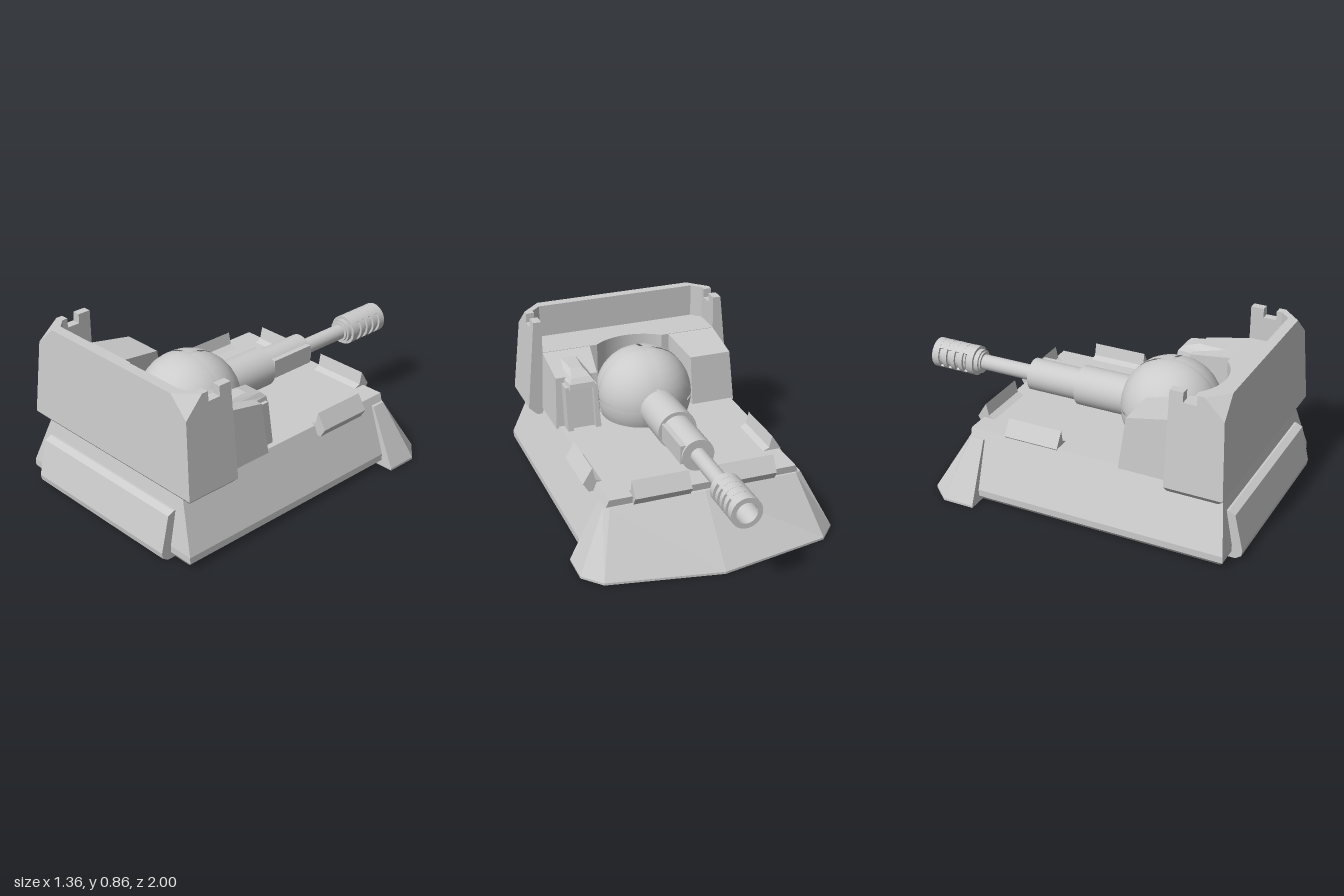
import * as THREE from 'three';

const grey = new THREE.MeshStandardMaterial({ color: 0xcccccc });
const flat = new THREE.MeshStandardMaterial({ color: 0xcccccc, flatShading: true });
const open = new THREE.MeshStandardMaterial({ color: 0xcccccc, side: THREE.DoubleSide });

// Solid from horizontal rings [y, [[x, z], ...]] stacked upwards
function loft(rings) {
  const n = rings[0][1].length;
  const rev = THREE.ShapeUtils.area(rings[0][1].map(p => new THREE.Vector2(...p))) < 0;
  const loops = rings.map(([y, pts]) => (rev ? [...pts].reverse() : pts).map(([x, z]) => new THREE.Vector3(x, y, z)));
  const tris = [];
  for (let r = 0; r < loops.length - 1; r++) {
    for (let i = 0; i < n; i++) {
      const j = (i + 1) % n, a = loops[r], b = loops[r + 1];
      tris.push(a[i], b[j], a[j], a[i], b[i], b[j]);
    }
  }
  const cap = (loop, up) => {
    const faces = THREE.ShapeUtils.triangulateShape(loop.map(p => new THREE.Vector2(p.x, p.z)), []);
    for (const [a, b, c] of faces) tris.push(loop[a], loop[up ? c : b], loop[up ? b : c]);
  };
  cap(loops[0], false);
  cap(loops[loops.length - 1], true);
  const geo = new THREE.BufferGeometry().setFromPoints(tris);
  geo.computeVertexNormals();
  return geo;
}

const rect = (x0, x1, z0, z1) => [[x0, z0], [x1, z0], [x1, z1], [x0, z1]];
// Mirror a half outline (x > 0, walked from one end to the other) into a full loop
const mirrored = half => [...half, ...half.filter(p => p[0] > 0).reverse().map(([x, z]) => [-x, z])];

function extrude(points, depth) {
  const shape = new THREE.Shape(points.map(p => new THREE.Vector2(...p)));
  return new THREE.ExtrudeGeometry(shape, { depth, bevelEnabled: false });
}

// Annulus sector extruded along z
function ringSector(r0, r1, a0, a1, z, depth) {
  const s = new THREE.Shape();
  s.absarc(0, 0, r1, a0, a1, false);
  if (a1 - a0 > 6) {
    const hole = new THREE.Path();
    hole.absarc(0, 0, r0, 0, Math.PI * 2, true);
    s.holes.push(hole);
  } else s.absarc(0, 0, r0, a1, a0, true);
  return new THREE.ExtrudeGeometry(s, { depth, bevelEnabled: false, curveSegments: 20 }).translate(0, 0, z);
}

export function createModel() {
  const model = new THREE.Group();
  const add = (name, geo, mat = flat, parent = model) => {
    const m = new THREE.Mesh(geo, mat);
    m.name = name;
    parent.add(m);
    return m;
  };

  // Hull with sloping sides
  add('hull', loft([
    [0, rect(-0.575, 0.575, -0.45, 0.92)],
    [0.035, rect(-0.61, 0.61, -0.45, 0.945)],
    [0.07, rect(-0.61, 0.61, -0.45, 0.945)],
    [0.36, rect(-0.5, 0.5, -0.495, 0.89)],
  ]));

  // Pointed ram at the gun end
  add('ram', loft([
    [0, mirrored([[0, -0.785], [0.59, -0.67], [0.68, -0.57], [0.68, -0.4]])],
    [0.012, mirrored([[0, -0.785], [0.59, -0.67], [0.68, -0.57], [0.68, -0.4]])],
    [0.32, mirrored([[0, -0.505], [0.5, -0.5], [0.53, -0.485], [0.53, -0.41]])],
  ]));

  // Plate on the sloping front
  add('frontPlate', extrude([[-0.88, 0], [-0.965, 0], [-0.995, 0.02], [-1, 0.05], [-0.955, 0.24], [-0.92, 0.257], [-0.88, 0.257]], 0.965)
    .rotateY(Math.PI / 2).translate(-0.4925, 0, 0));

  // Armoured wall: U-shaped, notched, top corners cut off
  const outer = y => y < 0.36
    ? { w: 0.545, f: 0.885, c: 0 }
    : { w: 0.592 - (y - 0.36) * 0.096, f: 0.925 - (y - 0.36) * 0.06, c: Math.max(0, y - 0.76) };
  const uRing = (y, z0) => {
    const { w, f, c } = outer(y);
    const half = [[w, z0], [w, f - c], [w - c, f]];
    const inner = [[0.45, 0.84], [0.5, 0.79], [0.5, z0]];
    const flip = ps => [...ps].reverse().map(([x, z]) => [-x, z]);
    return [y, [...half, ...flip(half), ...flip(inner), ...inner]];
  };
  add('wall', loft([0.315, 0.36, 0.76, 0.81].map(y => uRing(y, 0.62))));
  add('wallTop', loft([0.81, 0.86].map(y => uRing(y, 0.76))));
  for (const s of [-1, 1]) {
    add('wallPost', loft([0.81, 0.86].map(y => [y, rect(s * 0.5, s * outer(y).w, 0.62, 0.69)])));
  }

  // Shelf inside the wall, hollowed around the dome
  const shelf = new THREE.Shape();
  const arc = Math.asin(0.22 / 0.29);
  shelf.moveTo(-0.51, -0.62);
  shelf.lineTo(-0.19, -0.62);
  shelf.absarc(0, -0.4, 0.29, -Math.PI / 2 - (Math.PI / 2 - arc), -arc, false);
  shelf.lineTo(0.51, -0.62);
  shelf.lineTo(0.51, -0.86);
  shelf.lineTo(-0.51, -0.86);
  add('shelf', new THREE.ExtrudeGeometry(shelf, { depth: 0.34, bevelEnabled: false })
    .rotateX(-Math.PI / 2).translate(0, 0.34, 0));

  // Side blocks beside the dome, with sloping tops
  for (const s of [-1, 1]) {
    const geo = loft([
      [0.35, [[s * 0.27, 0.345], [s * 0.515, 0.345], [s * 0.515, 0.63], [s * 0.23, 0.63]]],
      [0.68, [[s * 0.27, 0.378], [s * 0.5, 0.378], [s * 0.5, 0.63], [s * 0.23, 0.63]]],
    ]);
    const p = geo.attributes.position;
    for (let i = 0; i < p.count; i++) if (p.getY(i) > 0.6 && p.getZ(i) < 0.5) p.setY(i, 0.63);
    geo.computeVertexNormals();
    add('sideBlock', geo);
  }

  // Hooded sight pod on the left block
  const pod = new THREE.Group();
  pod.name = 'sightPod';
  model.add(pod);
  add('podBody', loft([
    [0.35, rect(0.31, 0.45, 0.3, 0.5)],
    [0.61, rect(0.315, 0.44, 0.335, 0.54)],
  ]), flat, pod);
  add('podHood', loft([
    [0.59, [[0.305, 0.29], [0.45, 0.29], [0.47, 0.5], [0.285, 0.5]]],
    [0.62, [[0.31, 0.295], [0.445, 0.295], [0.465, 0.52], [0.29, 0.52]]],
    [0.645, [[0.325, 0.32], [0.43, 0.32], [0.44, 0.53], [0.315, 0.53]]],
    [0.665, [[0.345, 0.4], [0.41, 0.4], [0.42, 0.55], [0.335, 0.55]]],
  ]), flat, pod);
  for (const x of [0.285, 0.44]) {
    add('podRail', loft([
      [0.35, rect(x, x + 0.03, 0.27, 0.36)],
      [0.6, rect(x + 0.01, x + 0.03, 0.305, 0.4)],
    ]), flat, pod);
  }

  // Folded brackets around the deck edge
  const profile = [[-0.06, 0.355], [-0.015, 0.375], [0, 0.44], [0.05, 0.36], [0.02, 0.312], [-0.02, 0.315]];
  const bracket = (name, x, z, turn) => {
    const m = add(name, extrude(profile, 0.3).translate(0, 0, -0.15));
    m.position.set(x, 0, z);
    m.rotation.y = turn;
  };
  bracket('sideBracket', 0.52, -0.147, 0);
  bracket('sideBracket', -0.457, -0.147, Math.PI);
  for (const s of [-1, 1]) bracket('rearBracket', s * 0.228 + 0.0, -0.48, Math.PI / 2);

  // Turret dome: four shells with seams over a core
  const turret = new THREE.Group();
  turret.name = 'turret';
  turret.position.set(0, 0.465, 0.4);
  model.add(turret);
  add('domeCore', new THREE.SphereGeometry(0.246, 32, 20), grey, turret);
  for (const sx of [-1, 1]) for (const sz of [-1, 1]) {
    const phi = { '1,1': 0.5, '-1,1': 0, '-1,-1': 1.5, '1,-1': 1 }[`${sx},${sz}`] * Math.PI;
    for (const half of [0, 1]) {
      const shell = add('domeShell', new THREE.SphereGeometry(0.25, 8, 8, phi, Math.PI / 2, half * Math.PI / 2, Math.PI / 2), open, turret);
      shell.position.set(sx * 0.009, half ? -0.006 : 0.006, sz * 0.009);
    }
  }

  // Gun along -z
  const gun = new THREE.Group();
  gun.name = 'gun';
  gun.position.set(-0.004, 0.465, 0);
  model.add(gun);
  const tube = (name, r, z0, z1) => add(name,
    new THREE.CylinderGeometry(r, r, z1 - z0, 32).rotateX(Math.PI / 2).translate(0, 0, (z0 + z1) / 2), grey, gun);
  tube('outerSleeve', 0.106, -0.11, 0.22);
  tube('innerSleeve', 0.086, -0.4, -0.1);
  tube('barrel', 0.042, -0.73, -0.4);
  tube('collar', 0.055, -0.725, -0.71);
  tube('collar', 0.066, -0.75, -0.72);
  add('sleevePanel', new THREE.BoxGeometry(0.05, 0.1, 0.265).translate(0.066, 0.01, -0.255), grey, gun);

  // Slotted muzzle: core tube, top and bottom strips, side ribs
  const full = Math.PI * 2;
  add('muzzleCore', ringSector(0.055, 0.068, 0, full, -0.998, 0.2), grey, gun);
  tube('muzzleFloor', 0.06, -0.84, -0.74);
  for (const a of [0.24, 1.24]) {
    add('muzzleStrip', ringSector(0.06, 0.08, a * Math.PI, (a + 0.52) * Math.PI, -0.98, 0.22), grey, gun);
  }
  for (const [z, d] of [[-1, 0.04], [-0.935, 0.025], [-0.885, 0.025], [-0.835, 0.025], [-0.785, 0.04]]) {
    add('muzzleRib', ringSector(0.055, 0.081, 0, full, z, d), grey, gun);
  }
  return model;
}
